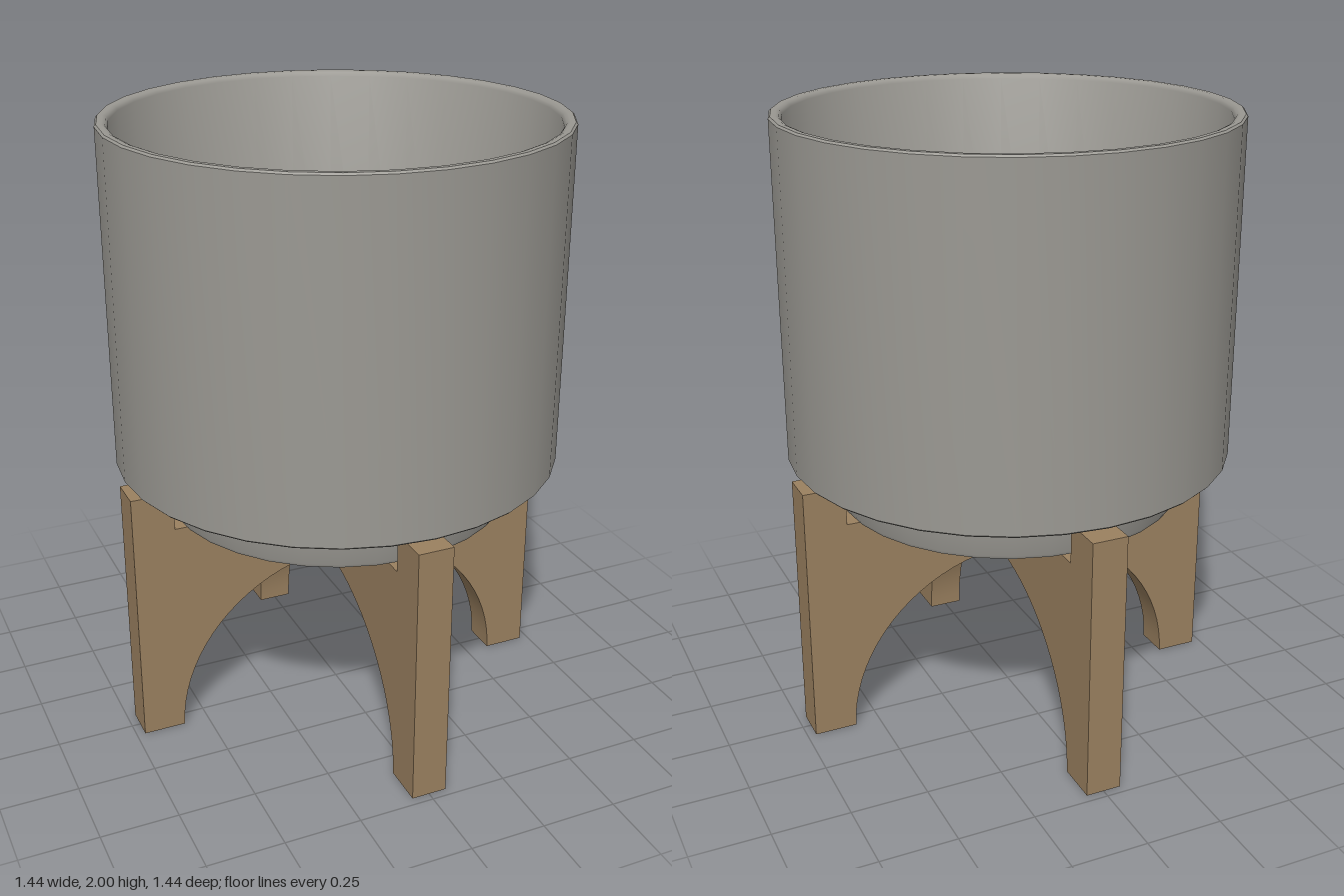
import * as THREE from 'three';
import { toCreasedNormals } from 'three/addons/utils/BufferGeometryUtils.js';

const SEGMENTS = 32;
const REACH = 0.722; // outer end of each stand arm
const POST = 0.583; // inner side of each post
const THICK = 0.116; // plank thickness

function lathe(name, points, material) {
  const profile = points.map(([r, y]) => new THREE.Vector2(r, y));
  const mesh = new THREE.Mesh(toCreasedNormals(new THREE.LatheGeometry(profile, SEGMENTS), 0.7), material);
  mesh.name = name;
  return mesh;
}

// Points of the arch underside from x = start out to the post foot
function archPoints(start) {
  const points = [];
  const first = Math.acos(start / POST);
  for (let i = 0; i <= 20; i++) {
    const a = first * (1 - i / 20);
    points.push([POST * Math.cos(a), 0.555 * Math.sin(a)]);
  }
  return points;
}

function plank(name, points, material) {
  const shape = new THREE.Shape(points.map(([x, y]) => new THREE.Vector2(x, y)));
  const geometry = new THREE.ExtrudeGeometry(shape, { depth: THICK, bevelEnabled: false });
  geometry.translate(0, 0, -THICK / 2);
  const mesh = new THREE.Mesh(toCreasedNormals(geometry, 0.5), material);
  mesh.name = name;
  return mesh;
}

// Outline of one arm: arch, post and notched top
const armOutline = (start) => [
  ...archPoints(start), [REACH, 0], [REACH, 0.87], [POST, 0.87], [POST, 0.742],
];

export function createModel() {
  const model = new THREE.Group();
  model.name = 'planterOnStand';
  const ceramic = new THREE.MeshStandardMaterial({ color: 0x9b9993 });
  ceramic.name = 'grey ceramic';
  const wood = new THREE.MeshStandardMaterial({ color: 0x9b8160 });
  wood.name = 'brown wood';

  // Pot with a narrower foot, rounded rim and hollow inside
  model.add(lathe('pot', [
    [0, 0.755], [0.55, 0.755], [0.561, 0.759], [0.566, 0.77], [0.566, 0.905],
    [0.714, 0.905], [0.72, 0.911], [0.72, 1.994], [0.714, 2],
    [0.698, 2], [0.688, 1.996], [0.681, 1.985],
    [0.679, 1.0], [0.672, 0.975], [0.655, 0.962], [0.63, 0.958], [0, 0.958],
  ], ceramic));

  // Low pad under the foot
  model.add(lathe('footPad', [[0, 0.743], [0.245, 0.743], [0.245, 0.756]], ceramic));

  // Crossed stand: one full plank and two half planks meeting it
  const stand = new THREE.Group();
  stand.name = 'stand';
  const right = armOutline(0);
  const left = right.slice(1).reverse().map(([x, y]) => [-x, y]);
  stand.add(plank('longPlank', [...right, ...left], wood));
  for (const side of [1, -1]) {
    const start = THICK / 2;
    const arm = plank(side > 0 ? 'frontArm' : 'backArm', [...armOutline(start), [start, 0.742]], wood);
    arm.rotation.y = -side * Math.PI / 2;
    stand.add(arm);
  }
  model.add(stand);
  return model;
}
